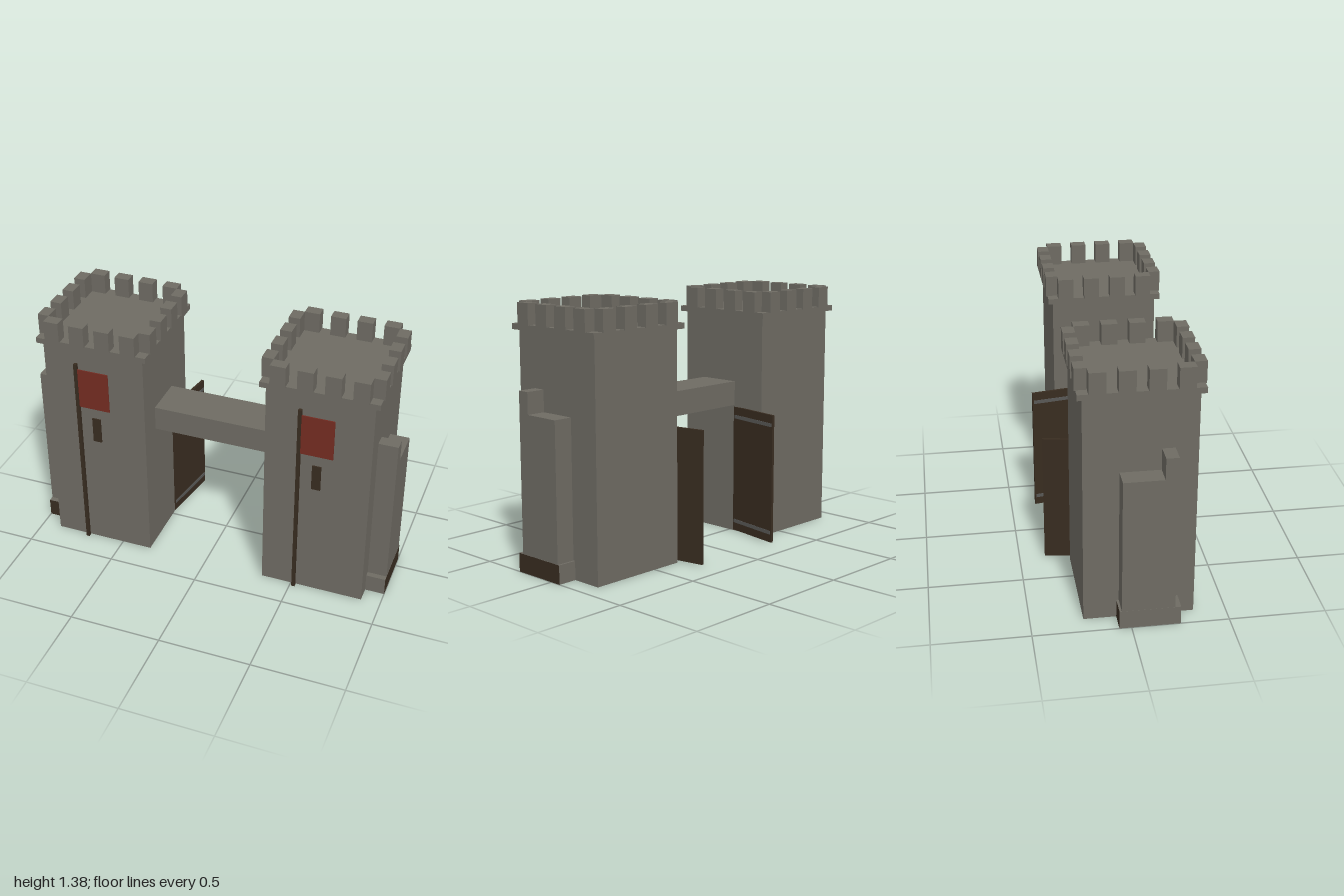
import * as THREE from 'three';

const mat = (name, color) => Object.assign(new THREE.MeshStandardMaterial({ color }), { name });

export function createModel() {
  const stone = mat('stone', 0x6e6b63);
  const wood = mat('dark wood', 0x382c20);
  const cloth = mat('red cloth', 0x742c22);
  const iron = mat('iron', 0x585856);
  const model = new THREE.Group();
  model.name = 'gatehouse';

  // Box given by its min and max on each axis
  function box(parent, name, material, [x0, x1], [y0, y1], [z0, z1]) {
    const mesh = new THREE.Mesh(new THREE.BoxGeometry(x1 - x0, y1 - y0, z1 - z0), material);
    mesh.position.set((x0 + x1) / 2, (y0 + y1) / 2, (z0 + z1) / 2);
    mesh.name = name;
    parent.add(mesh);
    return mesh;
  }

  const cx = 0.614, cz = 0.052;
  for (const side of [1, -1]) {
    const mx = (a, b) => (side > 0 ? [a, b] : [-b, -a]);
    const tower = new THREE.Group();
    tower.name = side > 0 ? 'leftTower' : 'rightTower';
    model.add(tower);

    // Shaft and cap slab
    box(tower, 'shaft', stone, mx(0.333, 0.895), [0, 1.235], [-0.23, 0.335]);
    box(tower, 'cap', stone, mx(cx - 0.308, cx + 0.308), [1.235, 1.265], [cz - 0.308, cz + 0.308]);

    // Battlements: four merlons on each of the four edges
    const battlements = new THREE.Group();
    battlements.name = 'battlements';
    battlements.position.set(side * cx, 0, cz);
    tower.add(battlements);
    for (let edge = 0; edge < 4; edge++) {
      const row = new THREE.Group();
      row.name = 'merlonRow';
      row.rotation.y = edge * Math.PI / 2;
      battlements.add(row);
      for (const t of [-0.2125, -0.071, 0.071, 0.2125]) {
        box(row, 'merlon', stone, [t - 0.041, t + 0.041], [1.262, 1.375], [0.253, 0.315]);
      }
    }

    // Stub of curtain wall with its parapet and footing
    box(tower, 'curtainWall', stone, mx(0.89, 0.999), [0.001, 0.83], [-0.05, 0.22]);
    box(tower, 'parapet', stone, mx(0.89, 0.999), [0.83, 0.945], [0.155, 0.22]);
    const ends = side > 0 ? stone : wood;
    box(tower, 'footing', [side > 0 ? wood : stone, stone, stone, wood, ends, ends],
      mx(0.895, 1), [0, 0.1], [-0.062, 0.25]);

    // Flagpole, banner and arrow slit, placed the same way on both towers
    const x = side * cx;
    box(tower, 'flagpole', wood, [x - 0.104, x - 0.086], [0, 1.145], [0.342, 0.36]);
    box(tower, 'banner', cloth, [x - 0.088, x + 0.087], [0.883, 1.113], [0.348, 0.354]);
    box(tower, 'arrowSlit', wood, [x - 0.024, x + 0.024], [0.667, 0.813], [0.333, 0.342]);

    // Open gate leaf with two iron straps on the passage side
    const gate = new THREE.Group();
    gate.name = 'gateLeaf';
    gate.position.set(side * 0.338, 0, -0.03);
    gate.rotation.y = side * 0.175;
    tower.add(gate);
    box(gate, 'planks', wood, mx(-0.007, 0.007), [0.005, 0.72], [-0.337, 0]);
    for (const y of [0.06, 0.665]) {
      box(gate, 'strap', iron, mx(-0.01, -0.006), [y - 0.01, y + 0.01], [-0.33, -0.01]);
    }
  }

  // Bridge between the towers
  box(model, 'bridge', stone, [-0.335, 0.335], [0.73, 0.865], [-0.033, 0.2]);
  return model;
}
